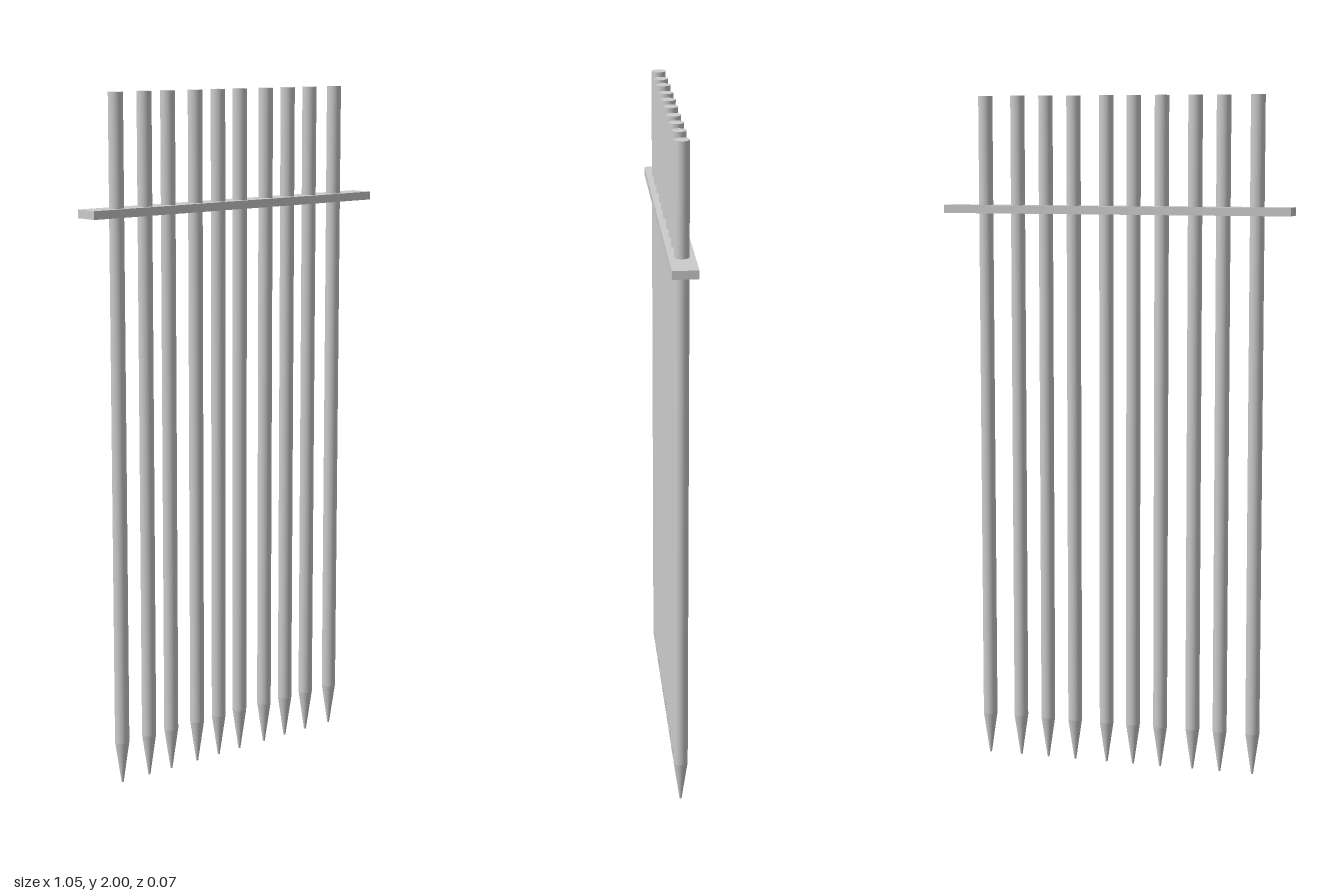
import * as THREE from 'three';

export function createModel() {
  const group = new THREE.Group();
  const material = new THREE.MeshStandardMaterial({ color: 0xcccccc });
  const add = (name, geometry, x, y, parent = group) => {
    const mesh = new THREE.Mesh(geometry, material);
    mesh.name = name;
    mesh.position.set(x, y, 0);
    parent.add(mesh);
  };

  // Round stakes, each a straight shaft above a long pointed tip
  const radius = 0.021, tipHeight = 0.124, height = 2;
  const shaft = new THREE.CylinderGeometry(radius, radius, height - tipHeight, 32);
  const tip = new THREE.CylinderGeometry(radius, 0.003, tipHeight, 32);
  const stakeX = [-0.42, -0.32, -0.236, -0.136, -0.051, 0.032, 0.132, 0.218, 0.305, 0.405];
  stakeX.forEach((x, i) => {
    const stake = new THREE.Group();
    stake.name = `stake${i + 1}`;
    stake.position.x = x;
    add('shaft', shaft, 0, (height + tipHeight) / 2, stake);
    add('tip', tip, 0, tipHeight / 2, stake);
    group.add(stake);
  });

  // Flat rail threaded by all the stakes
  add('crossRail', new THREE.BoxGeometry(1.052, 0.024, 0.073), 0, 1.668);
  return group;
}
